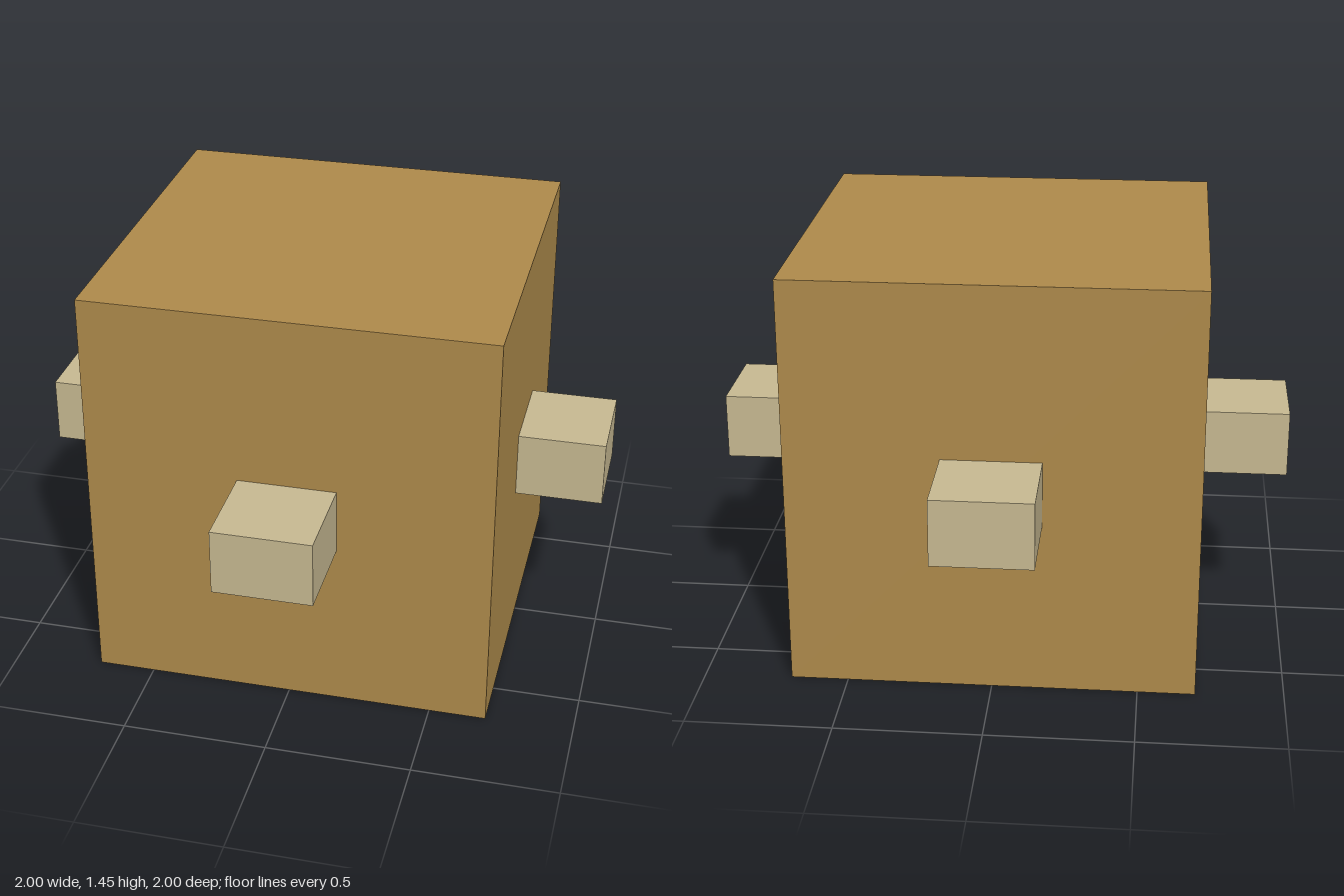
import * as THREE from 'three';

export function createModel() {
  const model = new THREE.Group();
  const wood = new THREE.MeshStandardMaterial({ color: 0xb08c4c });
  wood.name = 'brown wood';
  const paleWood = new THREE.MeshStandardMaterial({ color: 0xc9bb93 });
  paleWood.name = 'pale wood';

  const width = 1.395, height = 1.445, depth = 1.35;
  const pegWidth = 0.34, pegHeight = 0.23, pegY = 0.725;

  function addBox(name, size, position, material) {
    const mesh = new THREE.Mesh(new THREE.BoxGeometry(...size), material);
    mesh.name = name;
    mesh.position.set(...position);
    model.add(mesh);
  }

  // Main block
  addBox('body', [width, height, depth], [0, height / 2, 0], wood);

  // One peg in the middle of each side, reaching out to 1 unit
  const sideLength = 1 - width / 2;
  const endLength = 1 - depth / 2;
  for (const s of [1, -1]) {
    addBox(s > 0 ? 'leftPeg' : 'rightPeg', [sideLength, pegHeight, pegWidth],
      [s * (1 - sideLength / 2), pegY, 0], paleWood);
    addBox(s > 0 ? 'frontPeg' : 'backPeg', [pegWidth, pegHeight, endLength],
      [0, pegY, s * (1 - endLength / 2)], paleWood);
  }

  return model;
}
